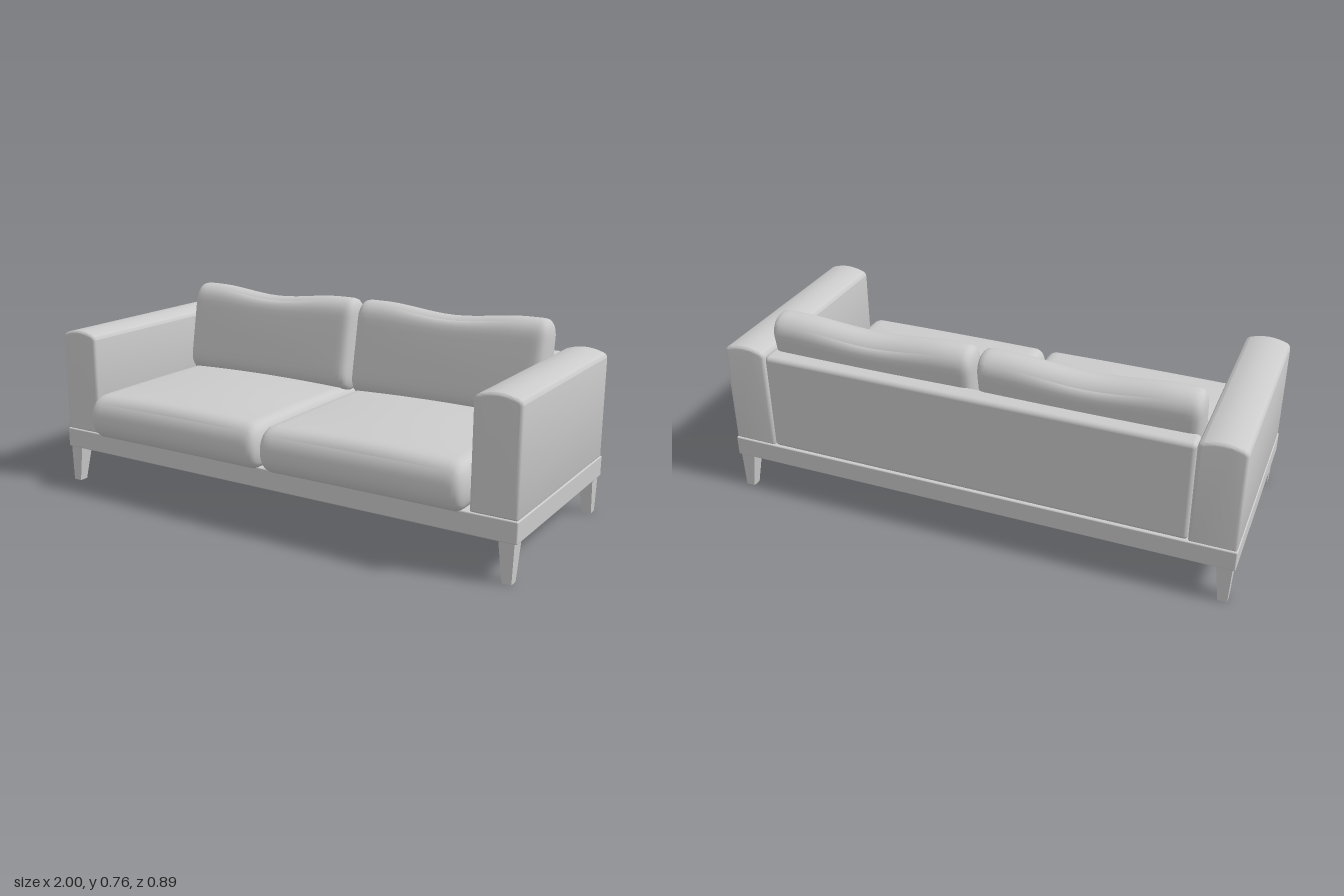
import * as THREE from 'three';
import { mergeVertices, toCreasedNormals } from 'three/addons/utils/BufferGeometryUtils.js';
import { RoundedBoxGeometry } from 'three/addons/geometries/RoundedBoxGeometry.js';

const material = new THREE.MeshStandardMaterial({ color: 0xcccccc });

function add(parent, name, geometry, x = 0, y = 0, z = 0) {
  const mesh = new THREE.Mesh(geometry, material);
  mesh.name = name;
  mesh.position.set(x, y, z);
  parent.add(mesh);
  return mesh;
}

// Soft pad: a box with elliptical edges, then shaped by a rule working on
// the point and its normalised position u (-1..1 on each axis)
function cushionGeometry(size, radii, shape) {
  const box = new THREE.BoxGeometry(2, 2, 2, 28, 20, 28);
  box.deleteAttribute('uv');
  box.deleteAttribute('normal');
  const geometry = mergeVertices(box);
  const pos = geometry.attributes.position;
  const axes = ['x', 'y', 'z'];
  const u = new THREE.Vector3(), p = new THREE.Vector3(), core = new THREE.Vector3(), d = new THREE.Vector3();
  for (let i = 0; i < pos.count; i++) {
    u.fromBufferAttribute(pos, i);
    for (const a of axes) {
      u[a] = Math.sin(u[a] * Math.PI / 2); // denser rows near the edges
      const half = size[a] / 2, inner = half - radii[a];
      p[a] = u[a] * half;
      core[a] = THREE.MathUtils.clamp(p[a], -inner, inner);
      d[a] = (p[a] - core[a]) / radii[a];
    }
    d.normalize().multiply(radii);
    p.copy(core).add(d);
    shape(p, u);
    pos.setXYZ(i, p.x, p.y, p.z);
  }
  geometry.computeVertexNormals();
  return geometry;
}

// Upright arm with a crowned top and softened edges, extruded front to back
function armGeometry(width, height, depth) {
  const w = width / 2, r = 0.02, bevel = 0.012;
  const s = new THREE.Shape();
  s.moveTo(-w + 0.008, 0);
  s.lineTo(w - 0.008, 0);
  s.quadraticCurveTo(w, 0, w, 0.008);
  s.lineTo(w, height - 0.038);
  s.quadraticCurveTo(w, height - 0.018, w - r, height - 0.012);
  s.quadraticCurveTo(0, height + 0.012, -w + r, height - 0.012);
  s.quadraticCurveTo(-w, height - 0.018, -w, height - 0.038);
  s.lineTo(-w, 0.008);
  s.quadraticCurveTo(-w, 0, -w + 0.008, 0);
  const geometry = new THREE.ExtrudeGeometry(s, {
    depth: depth - 2 * bevel, bevelEnabled: true, bevelThickness: bevel,
    bevelSize: bevel, bevelOffset: -bevel, bevelSegments: 3, curveSegments: 8,
  });
  geometry.translate(0, 0, bevel - depth / 2);
  return toCreasedNormals(geometry, 0.6);
}

// Square leg tapering towards its outer corner
function legGeometry(sx, sz) {
  const geometry = new THREE.BoxGeometry(0.058, 0.15, 0.06).toNonIndexed();
  const pos = geometry.attributes.position;
  for (let i = 0; i < pos.count; i++) {
    if (pos.getY(i) > 0) continue;
    pos.setX(i, pos.getX(i) * 0.6 + sx * 0.007);
    pos.setZ(i, pos.getZ(i) * 0.6 + sz * 0.012);
  }
  geometry.computeVertexNormals();
  return geometry;
}

export function createModel() {
  const sofa = new THREE.Group();
  sofa.name = 'sofa';

  add(sofa, 'base', new RoundedBoxGeometry(2, 0.08, 0.825, 2, 0.005), 0, 0.185, -0.0325);
  add(sofa, 'backrest', new RoundedBoxGeometry(1.652, 0.395, 0.08, 4, 0.018), 0, 0.42, -0.4);

  const arm = armGeometry(0.172, 0.42, 0.822);

  // Seat pad: full rounded front, gently crowned top
  const seat = cushionGeometry(
    new THREE.Vector3(0.822, 0.176, 0.79), new THREE.Vector3(0.04, 0.087, 0.07),
    (p, u) => {
      const crown = (1 - u.x * u.x) * (1 - u.z * u.z);
      if (p.y > 0) p.y += 0.022 * crown;
      if (u.z > 0.8) p.z -= 0.006 * Math.cos(u.x * Math.PI / 2) * (u.z - 0.8) / 0.2;
    });

  // Back pad: top edge dips in the middle, raised shoulders
  const backPad = cushionGeometry(
    new THREE.Vector3(0.822, 0.39, 0.14), new THREE.Vector3(0.035, 0.075, 0.069),
    (p, u) => {
      const t = Math.max(0, u.y);
      p.y -= 0.025 * t * t * Math.cos(u.x * Math.PI * 0.65) ** 2 * (Math.abs(u.x) < 0.77 ? 1 : 0);
      p.z += Math.sign(p.z) * 0.005 * (1 - u.x * u.x) * (1 - u.y * u.y);
    });

  for (const side of [-1, 1]) {
    const label = side > 0 ? 'left' : 'right';
    add(sofa, label + 'Arm', arm, side * 0.911, 0.224, -0.0325);
    add(sofa, label + 'SeatCushion', seat, side * 0.413, 0.308, 0.05);
    const pad = add(sofa, label + 'BackCushion', backPad, side * 0.415, 0.565, -0.296);
    pad.rotation.x = -0.18;
    for (const [end, z, sz] of [['Front', 0.345, 1], ['Back', -0.41, -1]]) {
      add(sofa, label + end + 'Leg', legGeometry(side, sz), side * 0.961, 0.075, z);
    }
  }
  return sofa;
}
